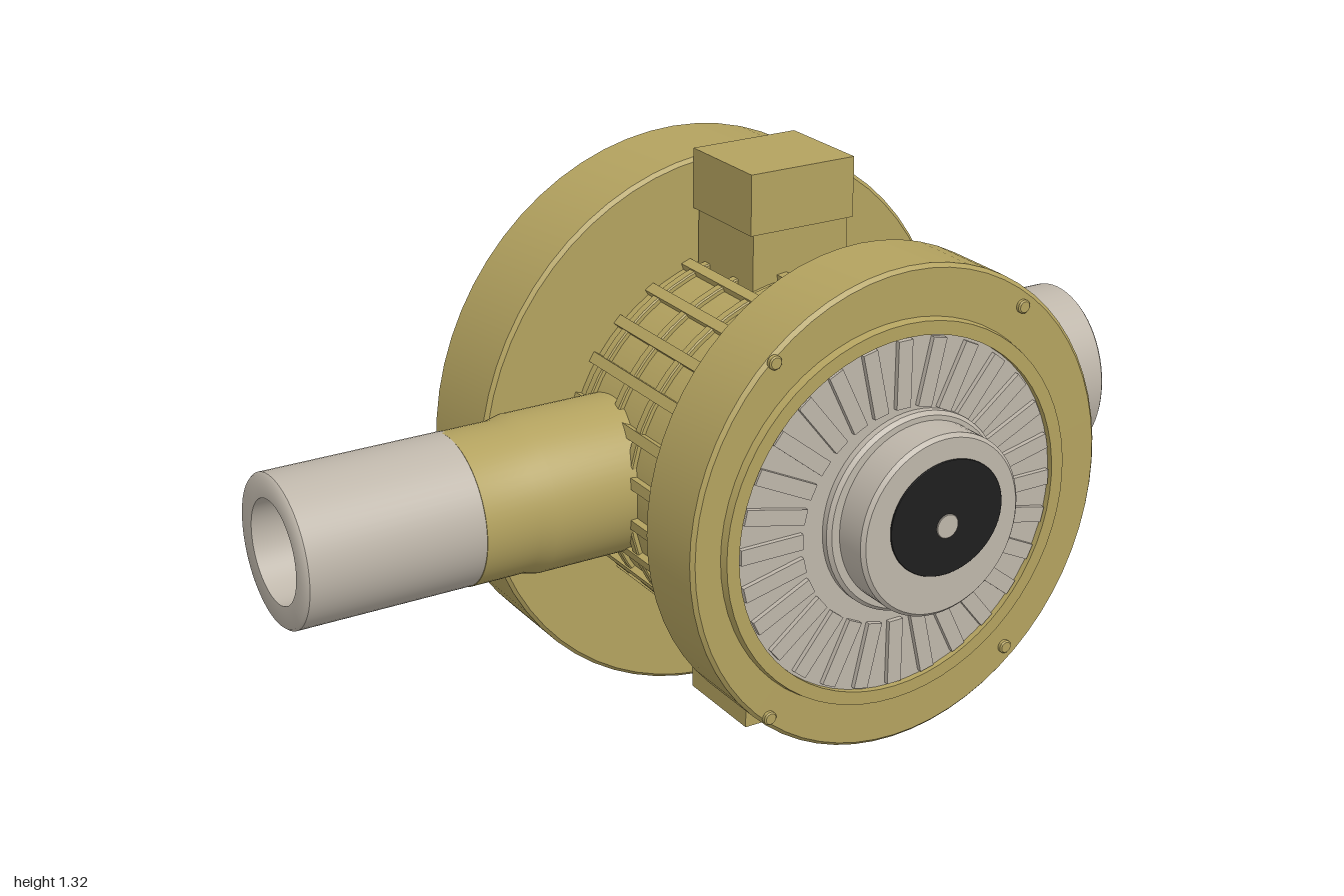
import * as THREE from 'three';
import { toCreasedNormals } from 'three/addons/utils/BufferGeometryUtils.js';

const brass = new THREE.MeshStandardMaterial({ name: 'brass', color: 0xb3a25f });
const steel = new THREE.MeshStandardMaterial({ name: 'steel', color: 0xbeb6aa });
const dark = new THREE.MeshStandardMaterial({ name: 'dark bore', color: 0x1e1e1e });

const CX = 0.2, CY = 0.658;

export function createModel() {
  const root = new THREE.Group();
  root.name = 'valveBody';

  function add(name, geo, mat, x = 0, y = 0, z = 0, parent = root) {
    const m = new THREE.Mesh(geo, mat);
    m.name = name;
    m.position.set(x, y, z);
    parent.add(m);
    return m;
  }

  // Turned part: profile of [radius, distance along axis], axis is 'x', '-x' or 'z'
  function turned(profile, axis) {
    let g = new THREE.LatheGeometry(profile.map(p => new THREE.Vector2(p[0], p[1])), 64);
    g = toCreasedNormals(g, 0.6);
    if (axis === 'z') g.rotateX(Math.PI / 2);
    if (axis === 'x') g.rotateZ(-Math.PI / 2);
    if (axis === '-x') g.rotateZ(Math.PI / 2);
    return g;
  }

  // Solid disc along z with slightly broken edges and an oval outline
  function disc(name, mat, x, y, rx, ry, z0, z1, b = 0.008) {
    const k = 1 - b / rx;
    const g = turned([[0, z0], [k, z0], [1, z0 + b], [1, z1 - b], [k, z1], [0, z1]], 'z');
    g.scale(rx, ry, 1);
    return add(name, toCreasedNormals(g, 0.6), mat, x, y, 0);
  }

  // Stacked round housing
  disc('drum', brass, CX, CY, 0.45, 0.412, -0.1, 0.4);
  disc('frontFlange', brass, 0.208, 0.656, 0.518, 0.543, 0.36, 0.545);
  disc('mainFlange', brass, 0.146, 0.66, 0.615, 0.638, -0.29, -0.062);
  disc('backCover', brass, CX, 0.66, 0.497, 0.487, -0.462, -0.28);
  disc('backBoss', brass, 0.23, 0.66, 0.2, 0.203, -0.655, -0.45);

  // Hoops and lengthwise ribs around the drum
  for (const z of [-0.02, 0.095, 0.2]) {
    disc('drumHoop', brass, CX, CY, 0.462, 0.423, z - 0.012, z + 0.012, 0.003);
  }
  const ribs = new THREE.Group();
  ribs.name = 'drumRibs';
  ribs.position.set(CX, CY, 0);
  root.add(ribs);
  for (let i = 0; i < 28; i++) {
    const a = (i + 0.5) / 28 * Math.PI * 2;
    const rib = add('drumRib', new THREE.BoxGeometry(0.04, 0.024, 0.44), brass,
      Math.cos(a) * 0.445, Math.sin(a) * 0.407, 0.15, ribs);
    rib.rotation.z = a;
  }

  // Face plate with raised rim, radial ribs and hub collar
  const faceX = 0.192, faceY = 0.655;
  add('faceRim', turned([[0.435, 0.54], [0.43, 0.563], [0.4, 0.563], [0.4, 0.54]], 'z'), brass, faceX, faceY);
  disc('facePlate', steel, faceX, faceY, 0.402, 0.402, 0.535, 0.549, 0.002);
  for (let i = 0; i < 28; i++) {
    const a = i / 28 * Math.PI * 2;
    const rib = add('faceRib', new THREE.BoxGeometry(0.15, 0.035, 0.014), steel,
      faceX + Math.cos(a) * 0.318, faceY + Math.sin(a) * 0.318, 0.553);
    rib.rotation.z = a;
  }
  disc('hubCollar', steel, 0.225, 0.66, 0.222, 0.225, 0.54, 0.572);
  disc('hub', steel, 0.23, 0.66, 0.2, 0.205, 0.55, 0.655);
  disc('hubOpening', dark, 0.24, 0.678, 0.142, 0.13, 0.653, 0.658, 0.001);
  disc('hubPin', steel, 0.241, 0.66, 0.027, 0.027, 0.655, 0.661, 0.001);

  // Small bolt heads on the front flange
  for (const sx of [-1, 1]) for (const sy of [-1, 1]) {
    disc('flangeBolt', brass, 0.19 + sx * 0.31, 0.66 + sy * 0.4, 0.015, 0.015, 0.54, 0.555, 0.003);
  }

  // Stepped lugs above and below the drum
  for (const s of [-1, 1]) {
    const lug = new THREE.Group();
    lug.name = s > 0 ? 'topLug' : 'bottomLug';
    lug.position.set(0.195, CY, 0.055);
    root.add(lug);
    add('lugFoot', new THREE.BoxGeometry(0.24, 0.2, 0.22), brass, 0, s * 0.435, 0, lug);
    add('lugBlock', new THREE.BoxGeometry(0.26, 0.135, 0.232), brass, 0, s * 0.59, 0, lug);
  }

  // Hollow pipe: outer wall, end ring, bore and dark bore bottom
  function pipe(name, axis, start, end, ry, rz, inner, depth, y, z) {
    const g = new THREE.Group();
    g.name = name;
    g.position.set(0, y, z);
    g.scale.set(1, ry, rz);
    root.add(g);
    add('pipeWall', turned([[1, start], [1, end - 0.006], [0.97, end], [inner, end], [inner, end - depth]], axis), steel, 0, 0, 0, g);
    const s = axis === 'x' ? 1 : -1;
    const cap = add('boreBottom', new THREE.CircleGeometry(inner, 48), dark, s * (end - depth), 0, 0, g);
    cap.rotation.y = s * Math.PI / 2;
  }
  pipe('leftPipe', 'x', 0.6, 1, 0.204, 0.182, 0.65, 0.22, 0.661, 0.066);
  pipe('rightPipe', '-x', 0.59, 1, 0.166, 0.168, 0.68, 0.22, 0.66, 0.05);

  // Brass sockets carrying the pipes
  const rightSocket = add('rightSocket', turned([[0.176, 0.1], [0.176, 0.44], [0.168, 0.475], [0.168, 0.6], [0.16, 0.6]], '-x'), brass, 0, 0.66, 0.052);
  rightSocket.scale.y = 0.99;
  const leftSocket = add('leftSocket', turned([[0.215, 0.4], [0.215, 0.71], [0.205, 0.735], [0.17, 0.735]], 'x'), brass, 0, 0.661, 0.066);
  leftSocket.scale.z = 0.9;

  return root;
}
